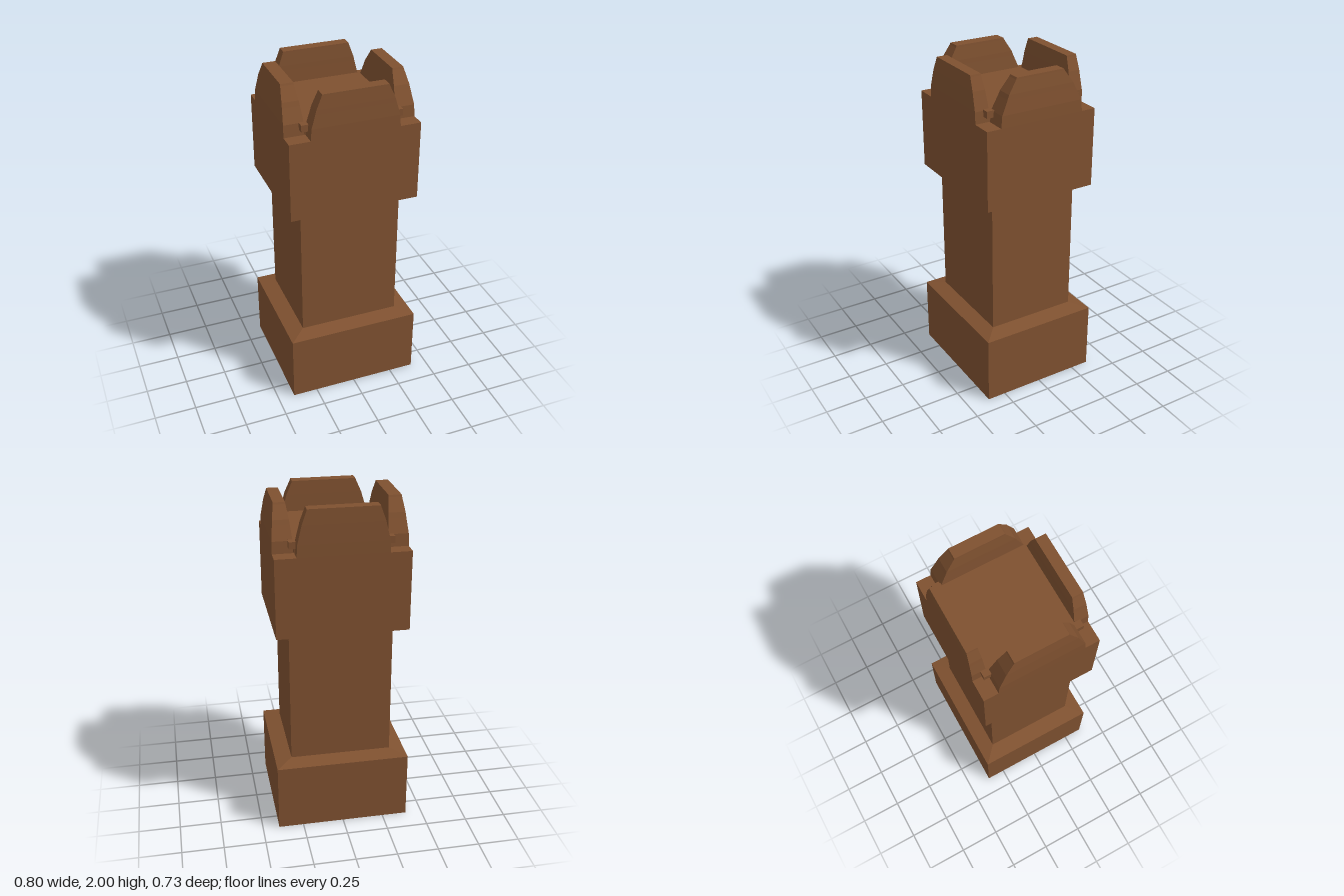
import * as THREE from 'three';

const material = new THREE.MeshStandardMaterial({ color: 0x7f5130, flatShading: true });

// Closed solid through stacked rectangles, each [y, x0, x1, z0, z1], bottom to top
function loft(name, rings) {
  const pos = [];
  const corners = rings.map(([y, x0, x1, z0, z1]) => [[x0, y, z1], [x1, y, z1], [x1, y, z0], [x0, y, z0]]);
  const quad = (a, b, c, d) => pos.push(...a, ...b, ...c, ...a, ...c, ...d);
  for (let i = 0; i < corners.length - 1; i++) {
    const lo = corners[i], hi = corners[i + 1];
    for (let k = 0; k < 4; k++) {
      const n = (k + 1) % 4;
      quad(lo[k], lo[n], hi[n], hi[k]);
    }
  }
  const [a, b, c, d] = corners[0];
  quad(d, c, b, a);
  quad(...corners[corners.length - 1]);
  const geometry = new THREE.BufferGeometry();
  geometry.setAttribute('position', new THREE.Float32BufferAttribute(pos, 3));
  geometry.computeVertexNormals();
  const mesh = new THREE.Mesh(geometry, material);
  mesh.name = name;
  return mesh;
}

const centred = (y, hx, hz) => [y, -hx, hx, -hz, hz];

// Battlement: runs along x or z, narrowing in length and thickness towards its top
function battlement(name, axis, side, base, top, height, topHalf) {
  const steps = [[0, 0], [0.27, 0.06], [0.58, 0.4], [0.68, 0.5], [0.96, 0.95], [1, 1]];
  const rings = steps.map(([h, t]) => {
    const y = 1.735 + (height - 1.735) * h;
    const half = THREE.MathUtils.lerp(0.26, topHalf, t);
    const inner = side * THREE.MathUtils.lerp(base[0], top[0], t);
    const outer = side * THREE.MathUtils.lerp(base[1], top[1], t);
    const lo = Math.min(inner, outer), hi = Math.max(inner, outer);
    return axis === 'x' ? [y, -half, half, lo, hi] : [y, lo, hi, -half, half];
  });
  return loft(name, rings);
}

export function createModel() {
  const model = new THREE.Group();
  model.name = 'tower';

  // Plinth with sloping shoulder, plain shaft, and head with flared underside
  model.add(
    loft('plinth', [centred(0, 0.4, 0.363), centred(0.415, 0.4, 0.363), centred(0.438, 0.304, 0.273)]),
    loft('shaft', [centred(0.43, 0.303, 0.273), centred(1.24, 0.303, 0.273)]),
    loft('head', [centred(1.235, 0.303, 0.273), centred(1.263, 0.383, 0.347), centred(1.735, 0.383, 0.347)])
  );

  // Roof deck on a slightly narrower core; its corners show between the battlements
  model.add(
    loft('deckCore', [centred(1.73, 0.262, 0.26), centred(1.775, 0.262, 0.26)]),
    loft('deck', [centred(1.77, 0.295, 0.296), centred(1.81, 0.295, 0.296)])
  );

  // Four battlements
  model.add(
    battlement('frontBattlement', 'x', 1, [0.26, 0.347], [0.271, 0.335], 1.988, 0.19),
    battlement('backBattlement', 'x', -1, [0.265, 0.347], [0.275, 0.338], 2, 0.2),
    battlement('leftBattlement', 'z', 1, [0.265, 0.383], [0.289, 0.356], 1.99, 0.148),
    battlement('rightBattlement', 'z', -1, [0.265, 0.383], [0.286, 0.36], 2, 0.157)
  );

  return model;
}
